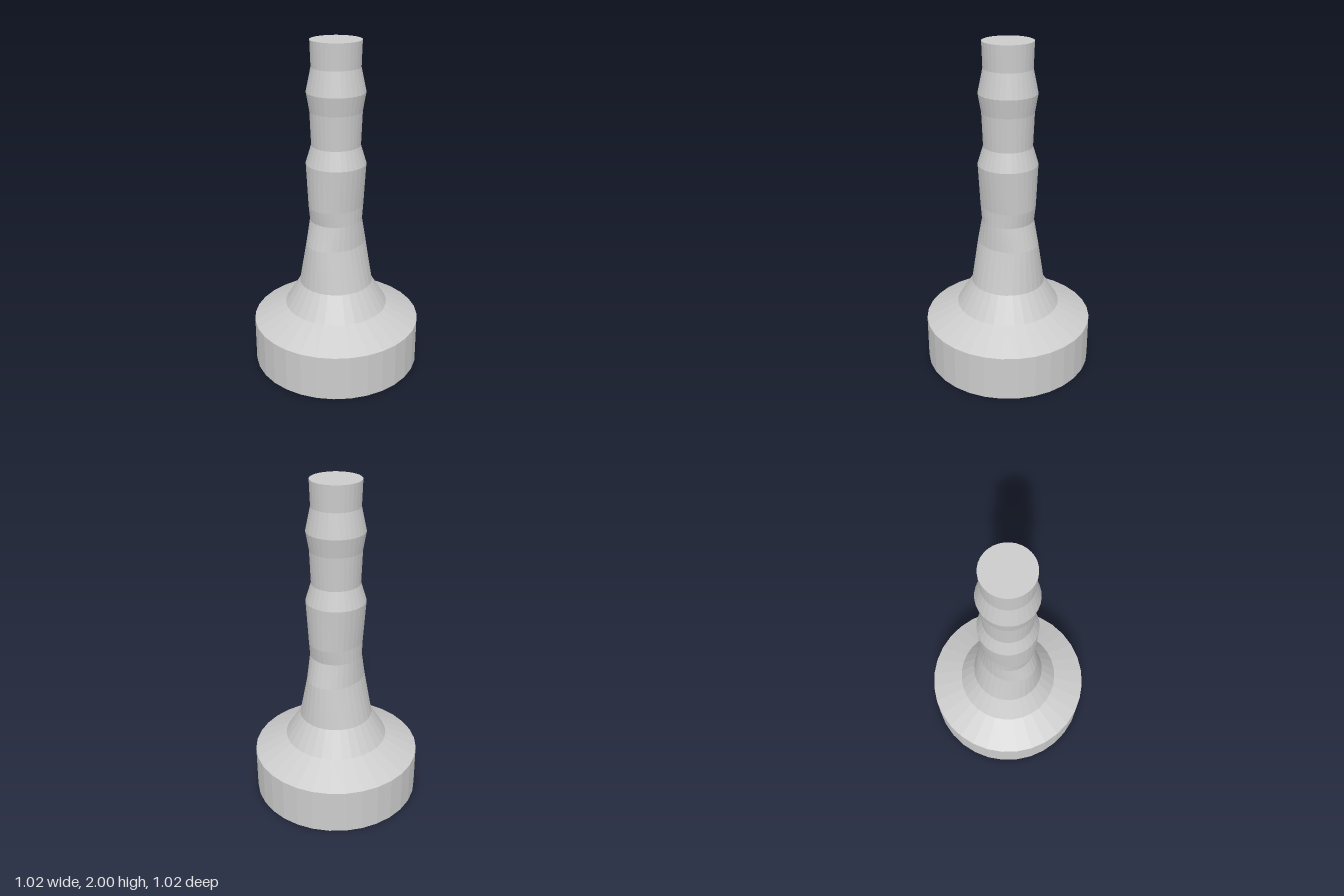
import * as THREE from 'three';

// Rings from bottom to top: height, half width in x, half depth in z
const RINGS = [
  [0, 0, 0],
  [0, 0.512, 0.512],
  [0.28, 0.512, 0.512],
  [0.38, 0.315, 0.315],
  [0.53, 0.222, 0.224],
  [0.79, 0.161, 0.196],
  [0.94, 0.155, 0.158],
  [1.03, 0.154, 0.172],
  [1.29, 0.178, 0.178],
  [1.4, 0.144, 0.145],
  [1.6, 0.152, 0.153],
  [1.71, 0.171, 0.172],
  [1.85, 0.141, 0.143],
  [2, 0.147, 0.147],
  [2, 0, 0],
];

// Lathe the widths, then stretch each ring in z to its own depth
function ovalLathe(rings, sides) {
  const profile = rings.map(([y, rx]) => new THREE.Vector2(rx, y));
  const lathe = new THREE.LatheGeometry(profile, sides);
  const pos = lathe.attributes.position;
  for (let i = 0; i < pos.count; i++) {
    const [, rx, rz] = rings[i % rings.length];
    if (rx > 0) pos.setZ(i, pos.getZ(i) * rz / rx);
  }
  const geometry = lathe.toNonIndexed();
  geometry.computeVertexNormals();
  return geometry;
}

export function createModel() {
  const group = new THREE.Group();
  group.name = 'pedestal';
  const material = new THREE.MeshStandardMaterial({ color: 0xcccccc, flatShading: true });

  // Heavy round foot flowing into a waisted stem
  const body = new THREE.Mesh(ovalLathe(RINGS, 32), material);
  body.name = 'footAndStem';
  group.add(body);
  return group;
}
